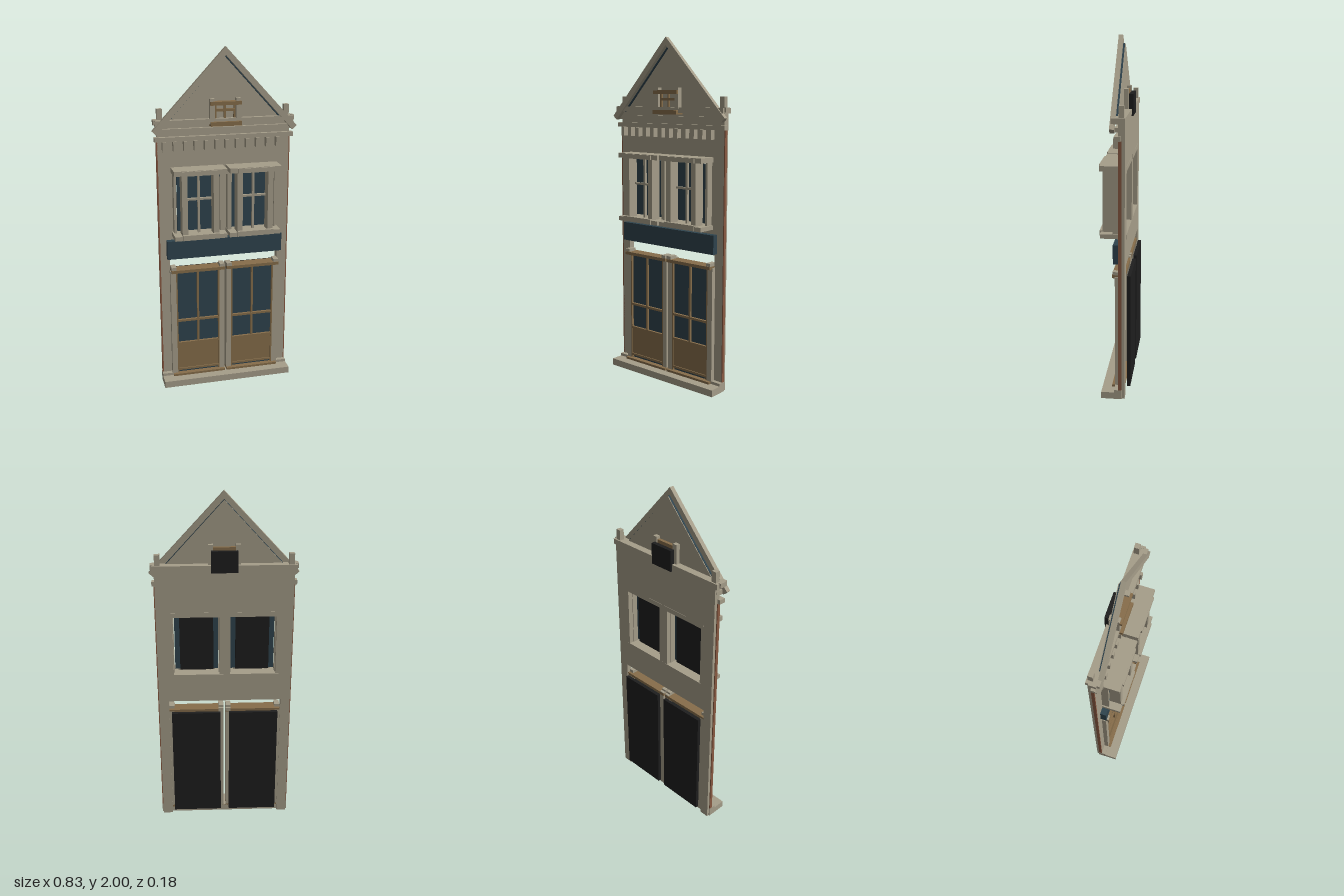
import * as THREE from 'three';

const material = (name, color) => {
  const m = new THREE.MeshStandardMaterial({ color });
  m.name = name;
  return m;
};

export function createModel() {
  const stone = material('stone', 0xa69e8a);
  const wood = material('wood', 0x876e4b);
  const glass = material('darkBlue', 0x2f444e);
  const black = material('black', 0x1e1e1e);
  const rust = material('rust', 0x8a5a42);

  const model = new THREE.Group();
  model.name = 'townhouseFacade';

  // Box given by its limits on each axis
  const box = (name, mat, x0, x1, y0, y1, z0, z1, parent = model) => {
    const mesh = new THREE.Mesh(new THREE.BoxGeometry(x1 - x0, y1 - y0, z1 - z0), mat);
    mesh.position.set((x0 + x1) / 2, (y0 + y1) / 2, (z0 + z1) / 2);
    mesh.name = name;
    parent.add(mesh);
    return mesh;
  };
  // Outline in the front plane, extruded from z0 to z1
  const slab = (name, mat, points, z0, z1, holes = []) => {
    const shape = new THREE.Shape(points.map(p => new THREE.Vector2(...p)));
    for (const h of holes) shape.holes.push(new THREE.Path(h.map(p => new THREE.Vector2(...p))));
    const geo = new THREE.ExtrudeGeometry(shape, { depth: z1 - z0, bevelEnabled: false });
    geo.translate(0, 0, z0);
    const mesh = new THREE.Mesh(geo, mat);
    mesh.name = name;
    model.add(mesh);
  };
  const rect = (x0, x1, y0, y1) => [[x0, y0], [x1, y0], [x1, y1], [x0, y1]];

  // Wall with a wide shopfront opening and two window openings
  slab('wall', stone,
    [[-0.383, 0], [-0.328, 0], [-0.328, 0.79], [0.325, 0.79], [0.325, 0], [0.383, 0], [0.383, 1.58], [-0.383, 1.58]],
    -0.065, -0.03,
    [rect(-0.292, -0.03, 0.95, 1.32), rect(0.03, 0.292, 0.95, 1.32)]);
  box('plinth', stone, -0.39, 0.39, 0, 0.04, -0.05, 0.068);
  box('signBoard', glass, -0.345, 0.342, 0.8, 0.91, -0.03, 0.005);

  for (const s of [-1, 1]) {
    // Helper for parts measured outward from the middle, on either side
    const side = new THREE.Group();
    side.name = s < 0 ? 'rightBay' : 'leftBay';
    model.add(side);
    const part = (name, mat, a, b, y0, y1, z0, z1) =>
      box(name, mat, s < 0 ? -b : a, s < 0 ? -a : b, y0, y1, z0, z1, side);

    part('cornerStrip', rust, 0.381, 0.389, 0.05, 1.49, -0.048, -0.03);
    part('plinthBlock', stone, 0.33, 0.39, 0.04, 0.056, -0.05, -0.005);

    // Shopfront door
    part('outerDoorPost', stone, 0.297, 0.33, 0.04, 0.72, -0.06, -0.004);
    part('innerDoorPost', stone, 0.006, 0.036, 0.04, 0.735, -0.06, -0.004);
    part('postCap', stone, 0.295, 0.325, 0.73, 0.748, -0.045, 0.01);
    part('postCap', stone, 0.006, 0.036, 0.73, 0.748, -0.045, 0.01);
    part('doorLintel', wood, 0.006, 0.325, 0.712, 0.73, -0.06, 0.013);
    part('doorSill', wood, 0.006, 0.325, 0.04, 0.053, -0.06, 0.013);
    part('doorGlass', glass, 0.036, 0.297, 0.053, 0.712, -0.03, -0.018);
    part('doorPanel', wood, 0.042, 0.29, 0.08, 0.25, -0.02, -0.01);
    for (const a of [0.036, 0.289]) part('doorStile', wood, a, a + 0.008, 0.055, 0.712, -0.03, -0.004);
    for (const y of [0.068, 0.243, 0.393]) part('doorRail', wood, 0.036, 0.297, y, y + 0.013, -0.02, -0.004);
    part('doorMullion', wood, 0.161, 0.173, 0.25, 0.712, -0.02, -0.005);
    part('doorBacking', black, 0.025, 0.31, 0.04, 0.72, -0.09, -0.07);

    // Upper window with a projecting surround
    part('windowHead', stone, 0.008, 0.311, 1.312, 1.34, -0.066, 0.08);
    part('windowSill', stone, 0.008, 0.311, 0.935, 0.96, -0.066, 0.08);
    part('headLip', stone, 0.053, 0.266, 1.312, 1.338, 0.08, 0.088);
    part('sillLip', stone, 0.053, 0.266, 0.937, 0.967, 0.07, 0.088);
    part('windowGlass', glass, 0.036, 0.284, 0.972, 1.302, -0.006, 0.004);
    part('windowBacking', black, 0.063, 0.255, 0.972, 1.302, -0.02, -0.007);
    part('windowPost', stone, 0.01, 0.034, 0.96, 1.312, -0.035, 0.012);
    part('outerWindowPost', stone, 0.288, 0.303, 0.96, 1.312, -0.035, 0.012);
    for (const a of [0.053, 0.234]) part('windowColumn', stone, a, a + 0.032, 0.96, 1.312, 0.004, 0.07);
    part('windowMullion', stone, 0.154, 0.167, 0.96, 1.312, 0.004, 0.02);
    part('windowTransom', stone, 0.085, 0.234, 1.153, 1.165, 0.004, 0.02);

    // Gable ends
    part('pinnacle', stone, 0.35, 0.38, 1.58, 1.67, -0.06, -0.032);
    part('corniceNub', stone, 0.39, 0.405, 1.585, 1.612, -0.05, -0.01);
    slab('rafter', stone, [[0, 2], [s * 0.415, 1.555], [s * 0.39, 1.532], [0, 1.955]], -0.012, 0.013);
    slab('rafterLining', glass, [[0, 1.957], [s * 0.345, 1.583], [s * 0.34, 1.577], [0, 1.947]], -0.022, -0.01);
  }

  // Cornice bands and dentils
  box('lowerCornice', stone, -0.4, 0.4, 1.49, 1.515, -0.045, -0.008);
  box('frieze', stone, -0.385, 0.385, 1.535, 1.56, -0.055, -0.012);
  box('upperCornice', stone, -0.397, 0.397, 1.58, 1.61, -0.068, 0.006);
  for (let i = 0; i < 12; i++) {
    const x = -0.347 + i * 0.0595;
    box('dentil', stone, x - 0.01, x + 0.01, 1.437, 1.49, -0.032, 0.004);
  }

  // Gable board
  slab('gableBoard', stone, [[-0.335, 1.59], [0.335, 1.59], [0, 1.955]], -0.026, -0.021);

  // Small attic window
  for (const s of [-1, 1]) {
    box('atticPost', stone, s * 0.075 - 0.014, s * 0.075 + 0.014, 1.6, 1.72, -0.05, 0.008);
    box('atticStile', wood, s * 0.055 - 0.005, s * 0.055 + 0.005, 1.6, 1.69, -0.045, -0.008);
  }
  box('atticHead', wood, -0.088, 0.088, 1.685, 1.705, -0.045, 0.02);
  box('atticSill', wood, -0.088, 0.088, 1.57, 1.594, -0.045, 0.024);
  box('atticTransom', wood, -0.055, 0.055, 1.648, 1.662, -0.02, -0.006);
  box('atticMullion', wood, -0.005, 0.005, 1.61, 1.69, -0.02, -0.008);
  box('atticBacking', black, -0.073, 0.073, 1.57, 1.69, -0.076, -0.052);

  return model;
}
